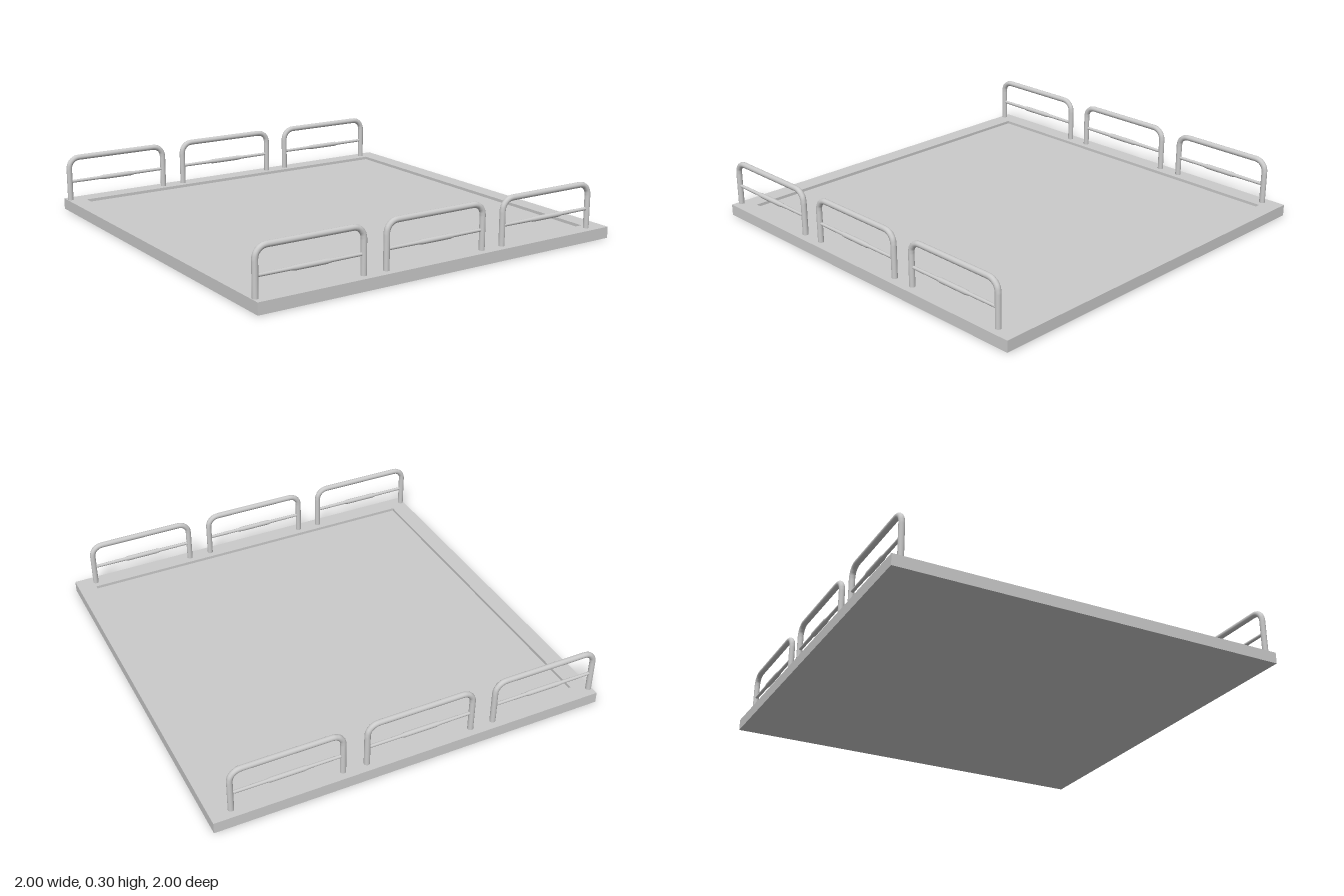
import * as THREE from 'three';

const HEIGHT = 0.057, FLOOR = 0.042, INNER = 0.91;
const HALF = 0.273, TOP = 0.281, BEND = 0.055, RADIUS = 0.0145;

const material = new THREE.MeshStandardMaterial({ color: 0xcccccc });

function addMesh(parent, name, geometry) {
  const mesh = new THREE.Mesh(geometry, material);
  mesh.name = name;
  parent.add(mesh);
  return mesh;
}

function square(Type, h) {
  return new Type([[-h, -h], [h, -h], [h, h], [-h, h]].map(([x, y]) => new THREE.Vector2(x, y)));
}

// Rounded hoop: two posts joined by a top bar through quarter-circle bends
function hoopPath() {
  const v = (x, y) => new THREE.Vector3(x, y, 0);
  const points = [v(-HALF, FLOOR), v(-HALF, 0.12), v(-HALF, 0.18)];
  const bend = (cx, from) => {
    for (let i = 0; i <= 6; i++) {
      const a = from - (i / 6) * Math.PI / 2;
      points.push(v(cx + BEND * Math.cos(a), TOP - BEND + BEND * Math.sin(a)));
    }
  };
  bend(-HALF + BEND, Math.PI);
  bend(HALF - BEND, Math.PI / 2);
  points.push(v(HALF, 0.18), v(HALF, 0.12), v(HALF, FLOOR));
  const path = new THREE.CurvePath();
  for (let i = 1; i < points.length; i++) path.add(new THREE.LineCurve3(points[i - 1], points[i]));
  return path;
}

function makeRail(hoop, bar) {
  const rail = new THREE.Group();
  rail.name = 'guardRail';
  addMesh(rail, 'railHoop', hoop);
  addMesh(rail, 'railCrossbar', bar).position.y = 0.155;
  return rail;
}

export function createModel() {
  const model = new THREE.Group();
  model.name = 'railedPlatform';

  // Square slab with a shallow recessed floor
  const slab = new THREE.BoxGeometry(2, FLOOR, 2).translate(0, FLOOR / 2, 0);
  addMesh(model, 'platformBase', slab);
  const rimShape = square(THREE.Shape, 1);
  rimShape.holes.push(square(THREE.Path, INNER));
  const rim = new THREE.ExtrudeGeometry(rimShape, { depth: HEIGHT - FLOOR, bevelEnabled: false });
  rim.rotateX(-Math.PI / 2).translate(0, FLOOR, 0);
  addMesh(model, 'platformRim', rim);

  // Crossbar, slightly thicker at mid-length
  const bar = new THREE.LatheGeometry(
    [[0.008, -HALF], [0.009, -0.1], [0.0125, -0.08], [0.0125, 0.08], [0.009, 0.1], [0.008, HALF]]
      .map(([r, y]) => new THREE.Vector2(r, y)), 12).rotateZ(Math.PI / 2);
  const hoop = new THREE.TubeGeometry(hoopPath(), 100, RADIUS, 12);

  // Three rails along the front and three along the back
  for (const z of [-0.952, 0.952]) {
    for (const x of [-0.71, -0.042, 0.625]) {
      const rail = makeRail(hoop, bar);
      rail.position.set(x, 0, z);
      model.add(rail);
    }
  }
  return model;
}
